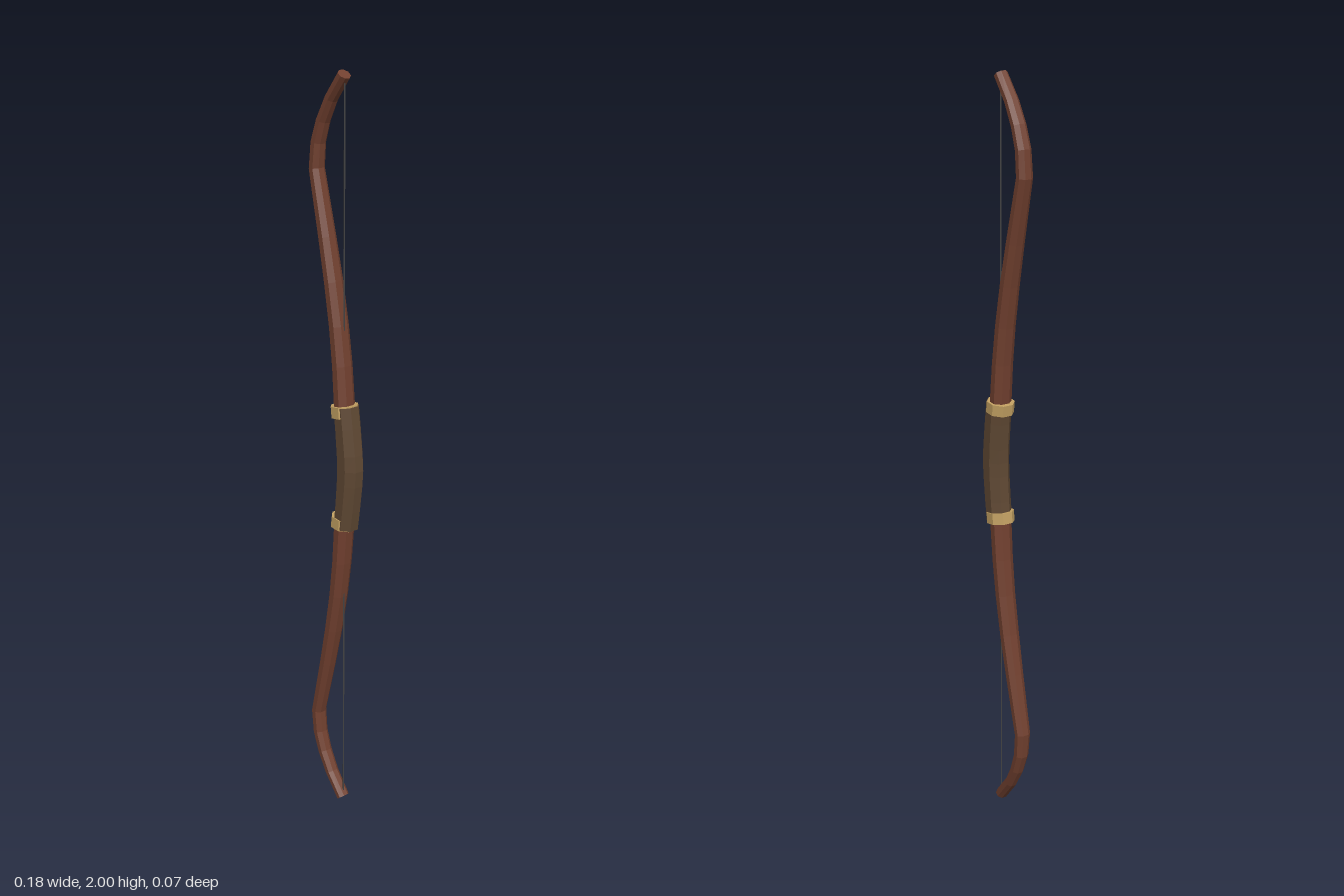
import * as THREE from 'three';

const material = (color) => new THREE.MeshStandardMaterial({ color, flatShading: true });

// Sweeps an oval polygon along stations [x, y, in-plane radius, z radius] ordered bottom to top.
function sweep(stations, sides = 8) {
  const positions = [];
  const index = [];
  const last = stations.length - 1;
  stations.forEach(([x, y, rx, rz], i) => {
    const a = stations[Math.max(i - 1, 0)];
    const b = stations[Math.min(i + 1, last)];
    const tangent = new THREE.Vector2(b[0] - a[0], b[1] - a[1]).normalize();
    for (let k = 0; k < sides; k++) {
      const t = ((k + 0.5) / sides) * Math.PI * 2;
      const u = Math.cos(t) * rx;
      positions.push(x + u * tangent.y, y - u * tangent.x, Math.sin(t) * rz);
    }
  });
  for (let i = 0; i < last; i++) {
    for (let k = 0; k < sides; k++) {
      const n = (k + 1) % sides;
      const a = i * sides + k, b = i * sides + n;
      index.push(a, a + sides, b, b, a + sides, b + sides);
    }
  }
  // End caps
  for (let k = 1; k < sides - 1; k++) {
    index.push(0, k, k + 1);
    const top = last * sides;
    index.push(top, top + k + 1, top + k);
  }
  const geometry = new THREE.BufferGeometry();
  geometry.setAttribute('position', new THREE.Float32BufferAttribute(positions, 3));
  geometry.setIndex(index);
  geometry.computeVertexNormals();
  return geometry;
}

// Mirrors an upper half, listed from the middle outward, about y = 1.
function mirrored(upper) {
  const lower = upper.slice(1).reverse().map(([x, y, rx, rz]) => [x, 2 - y, rx, rz]);
  return [...lower, ...upper];
}

export function createModel() {
  const bow = new THREE.Group();
  bow.name = 'bow';
  const add = (name, geometry, color) => {
    const mesh = new THREE.Mesh(geometry, material(color));
    mesh.name = name;
    bow.add(mesh);
    return mesh;
  };

  // Recurved wooden limbs, one continuous stave tapering to the tips
  add('limbs', sweep(mirrored([
    [0.048, 1.0, 0.025, 0.03],
    [0.03, 1.16, 0.024, 0.03],
    [0.021, 1.27, 0.023, 0.029],
    [0.008, 1.37, 0.022, 0.028],
    [-0.012, 1.48, 0.021, 0.027],
    [-0.036, 1.59, 0.02, 0.025],
    [-0.075, 1.755, 0.018, 0.022],
    [-0.069, 1.82, 0.018, 0.021],
    [-0.05, 1.875, 0.017, 0.02],
    [-0.02, 1.93, 0.016, 0.019],
    [0.027, 1.99, 0.016, 0.018],
  ])), 0x71402f);

  // Leather grip, bulging toward +x
  add('grip', sweep(mirrored([
    [0.052, 1.0, 0.039, 0.034],
    [0.05, 1.04, 0.038, 0.034],
    [0.043, 1.11, 0.036, 0.034],
    [0.036, 1.165, 0.035, 0.034],
  ])), 0x5f4833);

  // Gold bands at both ends of the grip
  for (const side of [1, -1]) {
    const band = add(side > 0 ? 'upperBand' : 'lowerBand',
      new THREE.CylinderGeometry(0.037, 0.037, 0.03, 8), 0xc2a062);
    band.geometry.rotateY(Math.PI / 8);
    band.position.set(0.031, 1 + side * 0.152, 0);
    band.rotation.z = side * 0.12;
  }

  // Bowstring between the tips
  const string = add('bowstring', new THREE.CylinderGeometry(0.002, 0.002, 1.95, 6), 0x444444);
  string.position.set(0.028, 1, 0);

  return bow;
}
